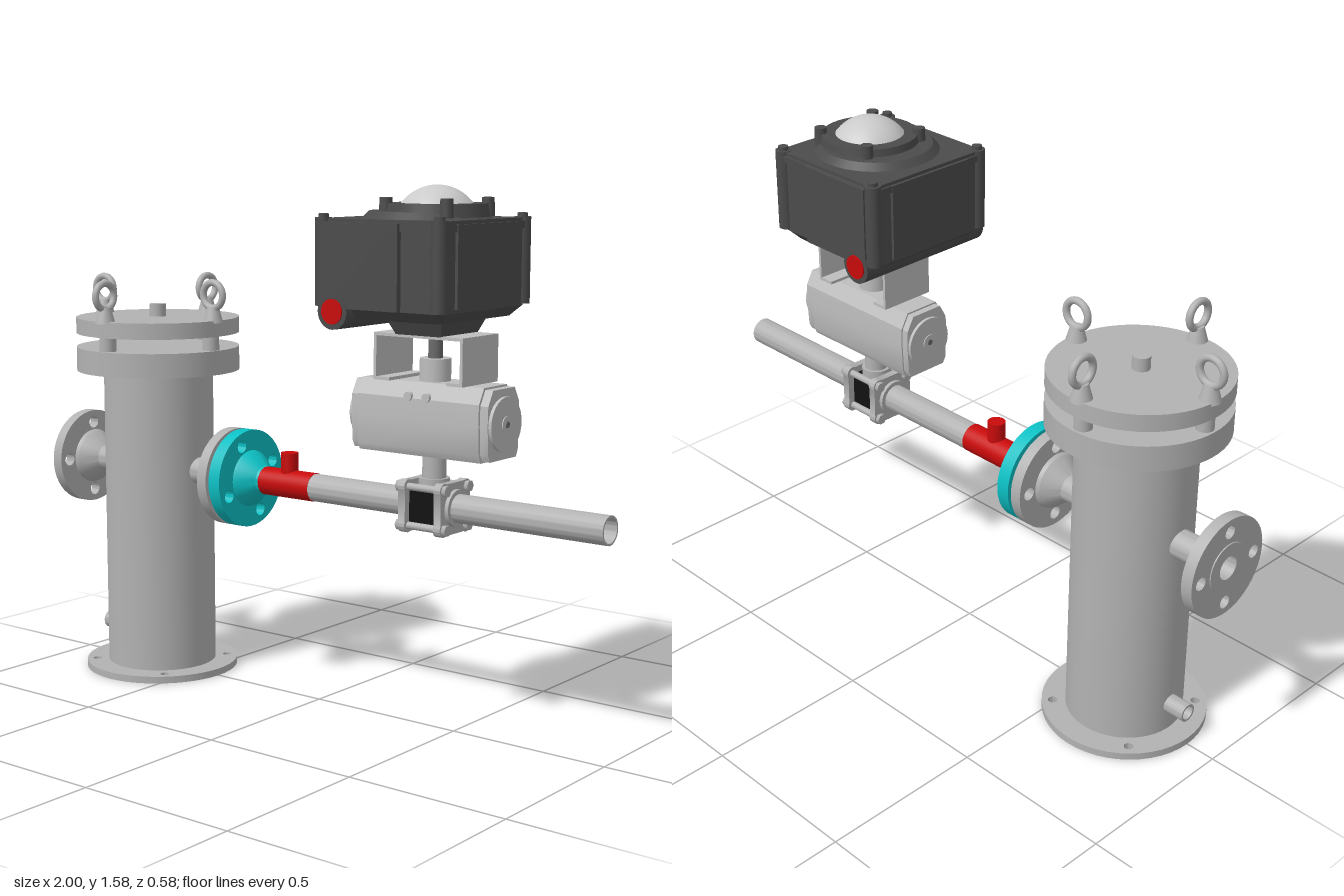
import * as THREE from 'three';
import { toCreasedNormals } from 'three/addons/utils/BufferGeometryUtils.js';

const mat = (name, color, side = THREE.FrontSide) => {
  const m = new THREE.MeshStandardMaterial({ color, side });
  m.name = name;
  return m;
};

export function createModel() {
  const steel = mat('steel', 0xb2b2b2, THREE.DoubleSide);
  const aluminium = mat('aluminium', 0xbebebe);
  const dark = mat('dark housing', 0x4b4b4b);
  const shaftGrey = mat('shaft grey', 0x6a6a6a);
  const red = mat('red', 0xc80a0a);
  const cyan = mat('cyan', 0x0cc0c4, THREE.DoubleSide);
  const black = mat('black', 0x111111);
  const domeMat = mat('dome', 0xcacaca);

  const model = new THREE.Group();
  const PIPE_Y = 0.663;
  const add = (name, geo, m, x = 0, y = 0, z = 0, parent = model) => {
    const mesh = new THREE.Mesh(geo, m);
    mesh.name = name;
    mesh.position.set(x, y, z);
    parent.add(mesh);
    return mesh;
  };
  // solid cylinder or cone running from a to b along one axis
  const rod = (axis, a, b, r1, r2 = r1, seg = 32) => {
    const g = new THREE.CylinderGeometry(r2, r1, b - a, seg);
    g.translate(0, (a + b) / 2, 0);
    if (axis === 'x') g.rotateZ(-Math.PI / 2);
    if (axis === 'z') g.rotateX(Math.PI / 2);
    return g;
  };
  // hollow body revolved about the x axis, points are [x, radius]
  const latheX = (pts) => {
    const g = new THREE.LatheGeometry(pts.map(([x, r]) => new THREE.Vector2(r, x)), 40);
    g.rotateZ(-Math.PI / 2);
    return toCreasedNormals(g, 0.4);
  };
  const extrude = (shape, depth) =>
    toCreasedNormals(new THREE.ExtrudeGeometry(shape, { depth, bevelEnabled: false, curveSegments: 24 }), 0.45);
  const extrudeX = (shape, depth) => extrude(shape, depth).rotateY(Math.PI / 2);
  const extrudeY = (shape, depth) => extrude(shape, depth).rotateX(-Math.PI / 2);
  const hole = (x, y, r) => new THREE.Path().absarc(x, y, r, 0, Math.PI * 2, true);
  // round plate with four bolt holes and an optional bore
  const plate = (r, holeCircle, holeR, start, bore = 0) => {
    const s = new THREE.Shape().absarc(0, 0, r, 0, Math.PI * 2, false);
    for (let i = 0; i < 4; i++) {
      const a = start + i * Math.PI / 2;
      s.holes.push(hole(Math.cos(a) * holeCircle, Math.sin(a) * holeCircle, holeR));
    }
    if (bore) s.holes.push(hole(0, 0, bore));
    return s;
  };
  const roundedRect = (w, h, r) => {
    const s = new THREE.Shape();
    s.absarc(w - r, h - r, r, 0, Math.PI / 2);
    s.absarc(-w + r, h - r, r, Math.PI / 2, Math.PI);
    s.absarc(-w + r, -h + r, r, Math.PI, Math.PI * 1.5);
    s.absarc(w - r, -h + r, r, Math.PI * 1.5, Math.PI * 2);
    return s;
  };

  // Filter vessel
  const vessel = new THREE.Group();
  vessel.name = 'vessel';
  vessel.position.x = -0.66;
  model.add(vessel);
  add('basePlate', extrudeY(plate(0.246, 0.213, 0.014, Math.PI / 4), 0.022), steel, 0, 0, 0, vessel);
  add('vesselShell', rod('y', 0.02, 0.985, 0.175, 0.175, 64), steel, 0, 0, 0, vessel);
  add('lowerFlange', rod('y', 0.977, 1.053, 0.26, 0.26, 64), steel, 0, 0, 0, vessel);
  add('lid', rod('y', 1.097, 1.147, 0.26, 0.26, 64), steel, 0, 0, 0, vessel);
  add('lidVent', rod('y', 1.14, 1.187, 0.026), steel, 0, 0, 0, vessel);
  for (let i = 0; i < 4; i++) {
    const bolt = new THREE.Group();
    bolt.name = 'eyeBolt';
    bolt.rotation.y = i * Math.PI / 2;
    vessel.add(bolt);
    add('boltSpacer', rod('y', 1.04, 1.11, 0.026), steel, 0.227, 0, 0, bolt);
    add('eyeBoltCollar', rod('y', 1.14, 1.19, 0.032, 0.018), steel, 0.237, 0, 0, bolt);
    add('eyeBoltRing', new THREE.TorusGeometry(0.04, 0.011, 12, 32), steel, 0.237, 1.225, 0, bolt);
  }
  add('drainNozzle', latheX([[-0.9, 0.021], [-0.9, 0.028], [-0.82, 0.028], [-0.82, 0.021], [-0.9, 0.021]]),
    steel, 0, 0.11);

  // Inlet and outlet nozzles with bolted flanges
  add('inletFlange', extrudeX(plate(0.152, 0.113, 0.02, 0, 0.036), 0.036), steel, -0.997, PIPE_Y);
  add('inletNeck', latheX([[-1, 0.036], [-1, 0.075], [-0.96, 0.088], [-0.948, 0.084], [-0.9, 0.043],
    [-0.8, 0.043], [-0.8, 0.036], [-1, 0.036]]), steel, 0, PIPE_Y);
  add('outletFlange', extrudeX(plate(0.152, 0.113, 0.02, 0), 0.036), steel, -0.361, PIPE_Y);
  add('outletNeck', latheX([[-0.52, 0.043], [-0.42, 0.043], [-0.373, 0.084], [-0.36, 0.088]]), steel, 0, PIPE_Y);
  add('flangeGasket', rod('x', -0.326, -0.312, 0.09), steel, 0, PIPE_Y);
  add('cyanFlange', extrudeX(plate(0.152, 0.113, 0.02, Math.PI / 8), 0.043), cyan, -0.313, PIPE_Y);
  add('cyanNeck', latheX([[-0.275, 0.09], [-0.262, 0.085], [-0.215, 0.045], [-0.205, 0.043]]), cyan, 0, PIPE_Y);

  // Pipe run
  add('redTee', rod('x', -0.208, -0.013, 0.0435), red, 0, PIPE_Y);
  add('redBranch', rod('y', 0.68, 0.76, 0.027), red, -0.115);
  add('pipe', latheX([[-0.013, 0.036], [-0.013, 0.042], [1, 0.042], [1, 0.036], [-0.013, 0.036]]), steel, 0, PIPE_Y);

  // Ball valve: two end plates, dark body, tie rods
  const valve = new THREE.Group();
  valve.name = 'ballValve';
  valve.position.set(0.423, PIPE_Y, 0);
  model.add(valve);
  const endPlate = new THREE.Shape();
  for (let i = 0; i < 4; i++) {
    const a = i * Math.PI / 2 + Math.PI / 4;
    endPlate.absarc(Math.cos(a) * 0.08, Math.sin(a) * 0.08, 0.021, a - 1.3, a + 1.3, false);
  }
  for (const s of [-1, 1]) {
    add('valveEndPlate', extrudeX(endPlate, 0.024), steel, s * 0.062 - 0.012, 0, 0, valve);
    add('valveEndCollar', rod('x', -0.01, 0.01, 0.055), steel, s * 0.076, 0, 0, valve);
    for (const t of [-1, 1]) {
      add('tieRod', rod('x', -0.082, 0.082, 0.011, 0.011, 16), steel, 0, s * 0.057, t * 0.057, valve);
      for (const e of [-1, 1])
        add('tieRodNut', rod('x', -0.007, 0.007, 0.017, 0.017, 6), steel, e * 0.08, s * 0.057, t * 0.057, valve);
    }
  }
  add('valveBody', new THREE.BoxGeometry(0.102, 0.106, 0.106), black, 0, 0, 0, valve);
  add('valveBonnet', rod('y', 0.045, 0.082, 0.045), steel, 0, 0, 0, valve);
  add('valveStem', rod('y', 0.07, 0.155, 0.035), steel, 0, 0, 0, valve);

  // Pneumatic actuator
  const profile = (k) => new THREE.Shape([[-0.07, -0.105], [0.07, -0.105], [0.08, -0.085], [0.085, 0], [0.083, 0.06],
    [0.058, 0.105], [-0.058, 0.105], [-0.083, 0.06], [-0.085, 0], [-0.08, -0.085]]
    .map(([z, y]) => new THREE.Vector2(z * k, y * k)));
  add('actuatorBody', extrudeX(profile(1), 0.42), aluminium, 0.207, 0.92);
  for (const s of [-1, 1]) {
    const cx = 0.42 + s * 0.222;
    add('actuatorCap', extrudeX(profile(0.95), 0.026), aluminium, cx - 0.013, 0.92);
    add('actuatorCapDisc', rod('x', -0.01, 0.01, 0.078), aluminium, cx + s * 0.013, 0.92);
    add('actuatorCapHub', rod('x', -0.012, 0.012, 0.024), aluminium, cx + s * 0.014, 0.92);
    add('actuatorCapScrew', rod('x', -0.014, 0.014, 0.009), shaftGrey, cx + s * 0.014, 0.92);
    add('airPort', rod('z', 0.05, 0.09, 0.013), aluminium, 0.42 + s * 0.031, 0.985);
    // mounting bracket legs and feet
    add('bracketLeg', new THREE.BoxGeometry(0.009, 0.135, 0.18), aluminium, 0.423 + s * 0.148, 1.093);
    add('bracketFoot', new THREE.BoxGeometry(0.05, 0.009, 0.18), aluminium, 0.423 + s * 0.123, 1.03);
  }
  add('bracketTop', new THREE.BoxGeometry(0.304, 0.009, 0.18), aluminium, 0.423, 1.157);
  add('coupling', rod('y', 1.02, 1.09, 0.045), aluminium, 0.423);
  add('indicatorShaft', rod('y', 1.08, 1.18, 0.021), shaftGrey, 0.423);

  // Switch box
  const box = new THREE.Group();
  box.name = 'switchBox';
  box.position.x = 0.378;
  model.add(box);
  add('boxBody', extrudeY(roundedRect(0.21, 0.215, 0.03), 0.25), dark, 0, 1.235, 0, box);
  // underside narrows towards the bottom
  const under = extrudeY(roundedRect(0.21, 0.215, 0.03), 0.03);
  const p = under.attributes.position;
  for (let i = 0; i < p.count; i++)
    if (p.getY(i) < 0.01) p.setXYZ(i, p.getX(i) * 0.87, p.getY(i), p.getZ(i) * 0.87);
  under.computeVertexNormals();
  add('boxUnderside', under, dark, 0, 1.206, 0, box);
  add('sidePanel', new THREE.BoxGeometry(0.26, 0.24, 0.464), dark, -0.055, 1.356, 0, box);
  add('endPanel', new THREE.BoxGeometry(0.438, 0.23, 0.3), dark, 0, 1.36, 0, box);
  add('boxLid', extrudeY(roundedRect(0.216, 0.222, 0.035), 0.02), dark, 0, 1.455, 0, box);
  add('lidCrown', rod('y', 1.47, 1.505, 0.2, 0.165, 40), dark, 0.012, 0, 0, box);
  for (const sx of [-1, 1]) for (const sz of [-1, 1]) {
    add('cornerLug', rod('y', 1.24, 1.487, 0.024, 0.024, 20), dark, sx * 0.198, 0, sz * 0.207, box);
    add('cornerScrew', rod('y', 1.48, 1.498, 0.015, 0.015, 16), dark, sx * 0.198, 0, sz * 0.207, box);
    add('collarScrew', rod('y', 1.49, 1.543, 0.02, 0.018, 16), dark, 0.045 + sx * 0.103, 0, sz * 0.103, box);
  }
  // tapered foot under the box
  const foot = new THREE.CylinderGeometry(Math.SQRT1_2, 0.52, 0.07, 4, 1).rotateY(Math.PI / 4).toNonIndexed();
  foot.scale(0.21, 1, 0.25);
  foot.computeVertexNormals();
  add('boxFoot', foot, dark, 0.048, 1.195, 0, box);
  // cable entries with red plugs on both sides
  add('cableEntry', rod('z', -0.235, 0.235, 0.051), dark, -0.146, 1.227, 0, box);
  for (const s of [-1, 1])
    add('cablePlug', rod('z', -0.003, 0.003, 0.036), red, -0.146, 1.227, s * 0.236, box);
  // position indicator dome and its collar
  add('domeCollar', rod('y', 1.49, 1.527, 0.15, 0.143, 40), dark, 0.045, 0, 0, box);
  add('indicatorDome', new THREE.SphereGeometry(0.139, 40, 16, 0, Math.PI * 2, 0, Math.PI / 2)
    .scale(0.95, 1, 0.95), domeMat, 0.045, 1.439, 0, box);

  return model;
}
